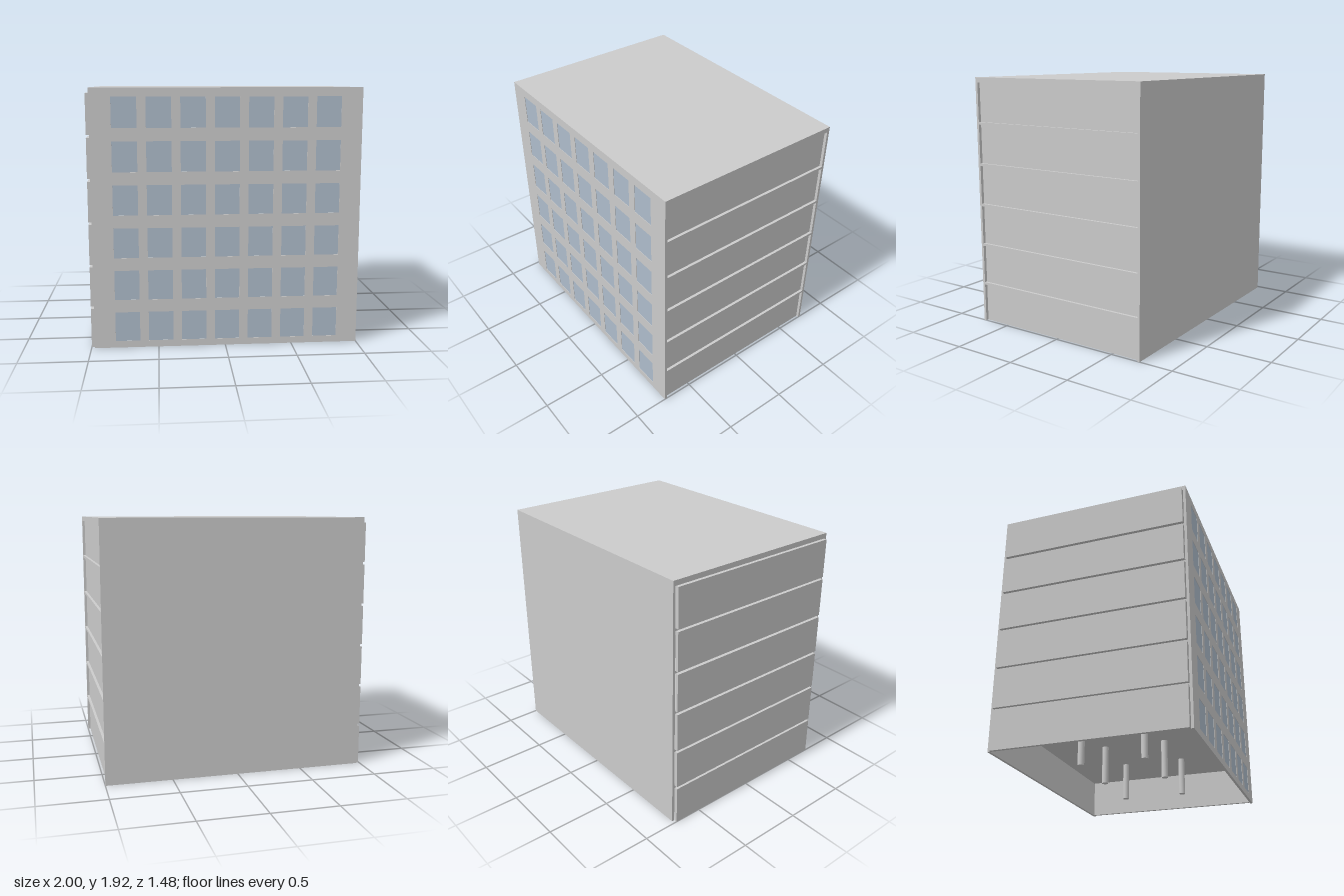
import * as THREE from 'three';

export function createModel() {
  const model = new THREE.Group();
  const concrete = new THREE.MeshStandardMaterial({ color: 0xcbcbcb });
  concrete.name = 'concrete';
  const glass = new THREE.MeshStandardMaterial({ color: 0xaebccb });
  glass.name = 'glass';

  const CX = 0.0125, WIDTH = 1.975, DEPTH = 1.48, HEIGHT = 1.92;
  const STOREYS = 6, STOREY = 0.3167, SLAB = 0.019, WALL = 0.02;
  const INNER = DEPTH - 2 * WALL;

  function add(name, geometry, material, x, y, z) {
    const mesh = new THREE.Mesh(geometry, material);
    mesh.name = name;
    mesh.position.set(x, y, z);
    model.add(mesh);
  }
  const box = (name, w, h, d, x, y, z, material = concrete) =>
    add(name, new THREE.BoxGeometry(w, h, d), material, x, y, z);

  // Front wall with a grid of window openings, glass set just behind the face
  const winW = 0.182, winH = 0.222, pitch = 0.247;
  const x0 = CX - WIDTH / 2, x1 = CX + WIDTH / 2;
  const wall = new THREE.Shape([[x0, 0], [x1, 0], [x1, HEIGHT], [x0, HEIGHT]]
    .map(([x, y]) => new THREE.Vector2(x, y)));
  for (let row = 0; row < STOREYS; row++) {
    for (let col = -3; col <= 3; col++) {
      const x = CX + col * pitch, y = 0.161 + row * STOREY;
      const a = x - winW / 2, b = x + winW / 2, c = y - winH / 2, d = y + winH / 2;
      wall.holes.push(new THREE.Path([[a, c], [a, d], [b, d], [b, c]]
        .map(([px, py]) => new THREE.Vector2(px, py))));
      box('windowPane', winW, winH, 0.008, x, y, DEPTH / 2 - 0.007, glass);
    }
  }
  add('frontWall', new THREE.ExtrudeGeometry(wall, { depth: WALL, bevelEnabled: false }),
    concrete, 0, 0, DEPTH / 2 - WALL);

  // Back wall and roof
  box('backWall', WIDTH, HEIGHT, WALL, CX, HEIGHT / 2, -DEPTH / 2 + WALL / 2);
  const roofH = HEIGHT - (STOREYS * STOREY - SLAB);
  box('roof', WIDTH, roofH, INNER, CX, HEIGHT - roofH / 2, 0);

  // Storeys: side panels, columns and the slab above
  const panelH = STOREY - SLAB;
  for (let s = 0; s < STOREYS; s++) {
    const y = s * STOREY;
    // The right-hand panels stand out from the body, the left-hand ones sit back
    for (const [name, x] of [['rightSidePanel', -0.9875], ['leftSidePanel', 0.9675]])
      box(name, 0.025, panelH, INNER - 0.006, x, y + panelH / 2, 0);
    if (s < STOREYS - 1)
      box('floorSlab', WIDTH, SLAB, INNER, CX, y + panelH + SLAB / 2, 0);
    for (const i of [-1, 0, 1])
      for (const side of [-1, 1])
        add('column', new THREE.CylinderGeometry(0.025, 0.025, panelH, 16), concrete,
          CX + i * WIDTH / 4, y + panelH / 2, side * DEPTH / 6);
  }
  return model;
}
